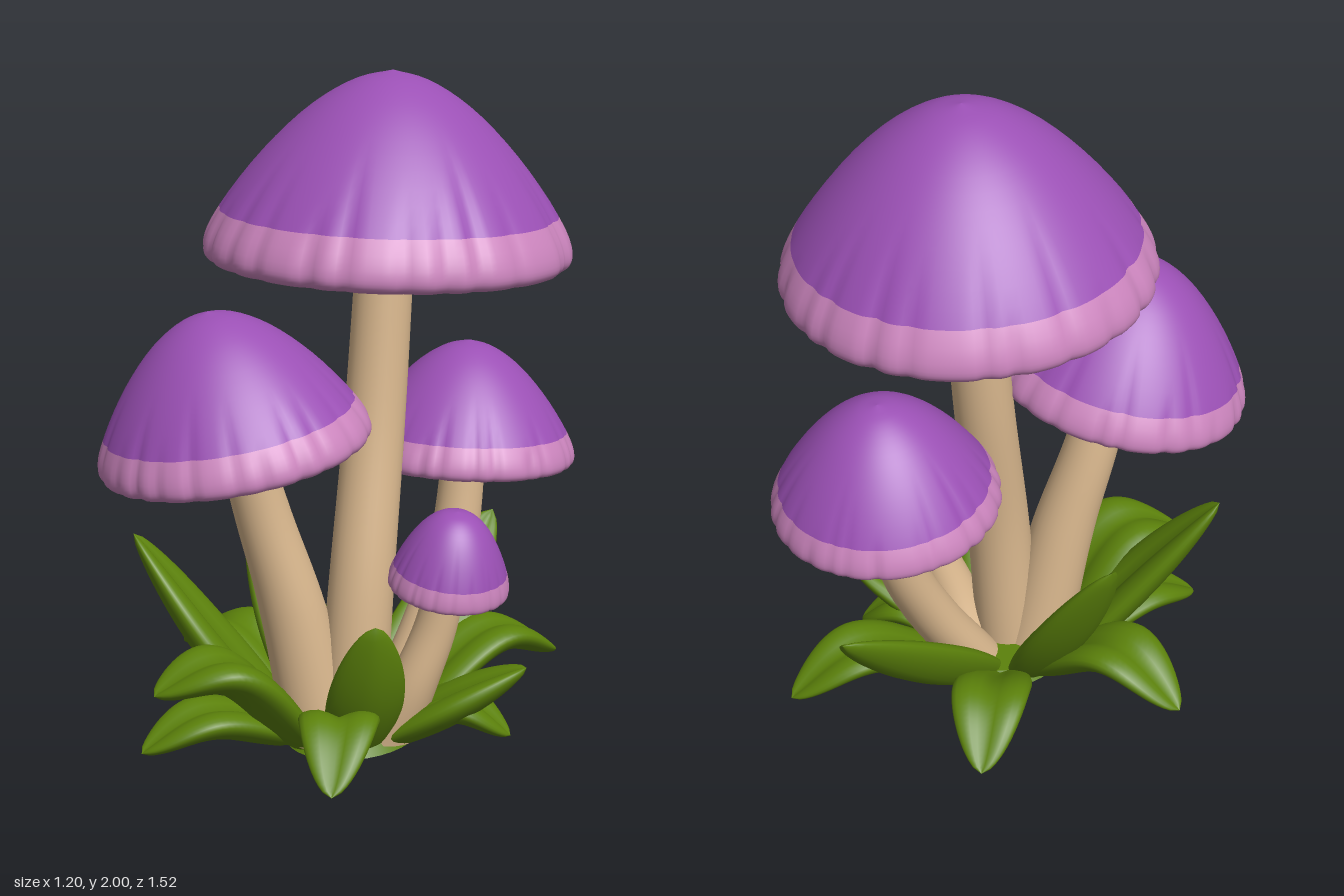
import * as THREE from 'three';

const V = (x, y, z) => new THREE.Vector3(x, y, z);
const flat = (name, color) => {
  const m = new THREE.MeshStandardMaterial({ color });
  m.name = name;
  return m;
};

// Smooth skin over closed rings: point(t, a) with t along the part, a around it
function skin(rows, cols, point) {
  const pos = [], index = [];
  for (let i = 0; i <= rows; i++)
    for (let j = 0; j < cols; j++) pos.push(...point(i / rows, (j / cols) * Math.PI * 2));
  for (let i = 0; i < rows; i++)
    for (let j = 0; j < cols; j++) {
      const a = i * cols + j, b = i * cols + ((j + 1) % cols), c = a + cols, d = b + cols;
      index.push(a, c, b, b, c, d);
    }
  const g = new THREE.BufferGeometry();
  g.setAttribute('position', new THREE.Float32BufferAttribute(pos, 3));
  g.setIndex(index);
  g.computeVertexNormals();
  return g;
}

function seeded(seed) {
  return () => ((seed = (seed * 16807) % 2147483647) / 2147483647);
}

// Cap outline from apex, over the rim, to the hollow underside (unit radius)
const capProfile = new THREE.CatmullRomCurve3([
  [0, 1.025], [0.19, 0.975], [0.42, 0.835], [0.68, 0.58], [0.91, 0.27], [0.985, 0.12],
  [0.99, 0.04], [0.95, 0], [0.87, 0.03], [0.7, 0.11], [0.4, 0.22], [0.1, 0.28],
].map(([r, y]) => V(r, y, 0)));
const SEGS = 11, SUB = 4, COLS = 160, BAND = 4, RIM = 8;

function capGeometry(R, tall, bulge, seed) {
  const rnd = seeded(seed), n = 24;
  const notches = Array.from({ length: n }, (_, k) => ({
    a: ((k + 0.15 + rnd() * 0.7) / n) * Math.PI * 2,
    depth: 0.4 + rnd() * 0.6,
    start: 0.5 + rnd() * 0.4,
  }));
  const g = skin(SEGS * SUB, COLS, (t, a) => {
    const p = capProfile.getPoint(t), k = t * SEGS;
    let r = k < RIM ? Math.pow(Math.max(0, p.x), bulge) : p.x, y = p.y, dent = 0;
    // radial creases that deepen toward the scalloped rim
    for (const c of notches) {
      let d = Math.abs(a - c.a);
      d = Math.min(d, Math.PI * 2 - d);
      const grow = THREE.MathUtils.smoothstep(r, c.start, 1);
      dent = Math.max(dent, c.depth * grow * Math.exp(-((d / 0.045) ** 2)));
    }
    r *= 1 - 0.03 * dent;
    // gills
    if (k > RIM) y -= 0.03 * Math.min(1, k - RIM) * r * Math.abs(Math.sin(14 * a));
    return [R * r * Math.cos(a), R * tall * y, -R * r * Math.sin(a)];
  });
  const split = BAND * SUB * COLS * 6;
  g.addGroup(0, split, 0);
  g.addGroup(split, g.index.count - split, 1);
  return g;
}

function stemGeometry(path, r0, r1) {
  const curve = new THREE.CatmullRomCurve3(path.map((p) => V(...p)));
  return skin(24, 28, (t, a) => {
    const p = curve.getPoint(t), r = THREE.MathUtils.lerp(r0, r1, t);
    return [p.x + r * Math.cos(a), p.y, p.z + r * Math.sin(a)];
  });
}

// Plump leaf, grooved along the middle, swept from base over mid to tip
function leafGeometry(base, mid, tip, width, roll = 0) {
  const curve = new THREE.CatmullRomCurve3([V(...base), V(...mid), V(...tip)]);
  const dir = V(tip[0] - base[0], 0, tip[2] - base[2]).normalize();
  const side = V(-dir.z, 0, dir.x);
  return skin(28, 24, (t, a) => {
    const p = curve.getPoint(t), T = curve.getTangent(t);
    const S = side.clone().applyAxisAngle(T, roll);
    const N = S.clone().cross(T).normalize();
    const shape = Math.pow(Math.max(0, Math.sin(Math.PI * (0.2 + 0.8 * t))), 0.62);
    const w = width * shape, u = Math.cos(a), v = Math.sin(a);
    const groove = v > 0 ? 0.16 * w * Math.exp(-((u / 0.28) ** 2)) : 0;
    p.addScaledVector(S, w * u);
    p.addScaledVector(N, 0.42 * w * v + 0.2 * w * (Math.abs(u) ** 1.4 - 0.4) - groove);
    return [p.x, Math.max(0, p.y), p.z];
  });
}

export function createModel() {
  const model = new THREE.Group();
  model.name = 'mushroomCluster';
  const purple = flat('cap purple', 0x9b50b5);
  const pink = flat('rim pink', 0xcc85be);
  const tan = flat('stem tan', 0xdbb98f);
  const green = flat('leaf green', 0x5c820b);

  const mushrooms = [
    { name: 'tallMushroom', at: [0.063, 1.455, -0.122], R: 0.538, tall: 0.99, bulge: 1, tilt: [-0.035, 0], r: [0.105, 0.083],
      path: [[0.12, 0.02, 0.06], [0.12, 0.5, 0.02], [0.085, 1, -0.06], [0.07, 1.63, -0.12]] },
    { name: 'frontMushroom', at: [-0.015, 0.945, 0.375], R: 0.413, tall: 1, bulge: 0.96, tilt: [0.15, 0.1], r: [0.115, 0.07],
      path: [[0.05, 0.02, 0.12], [0.015, 0.45, 0.2], [-0.02, 0.75, 0.28], [-0.035, 1.08, 0.37]] },
    { name: 'backMushroom', at: [0.08, 0.795, -0.425], R: 0.34, tall: 1.06, bulge: 0.96, tilt: [-0.08, 0.04], r: [0.095, 0.064],
      path: [[0.1, 0.02, -0.1], [0.1, 0.3, -0.27], [0.09, 0.55, -0.38], [0.085, 0.91, -0.43]] },
    { name: 'smallMushroom', at: [0.33, 0.515, -0.135], R: 0.18, tall: 1.34, bulge: 0.78, tilt: [0, -0.15], r: [0.09, 0.052],
      path: [[0.18, 0.02, -0.04], [0.25, 0.2, -0.07], [0.3, 0.4, -0.12], [0.33, 0.6, -0.135]] },
  ];
  mushrooms.forEach((m, i) => {
    const group = new THREE.Group();
    group.name = m.name;
    const cap = new THREE.Mesh(capGeometry(m.R, m.tall, m.bulge, 1234 + i * 777), [purple, pink]);
    cap.name = 'cap';
    cap.position.set(...m.at);
    cap.rotation.set(m.tilt[0], 0, m.tilt[1]);
    if (i === 1) cap.scale.z = 0.94;
    const stem = new THREE.Mesh(stemGeometry(m.path, ...m.r), tan);
    stem.name = 'stem';
    group.add(cap, stem);
    model.add(group);
  });

  // Leaves: base, mid, tip, half width, roll
  const leaves = [
    [[-0.06, 0.02, 0.16], [-0.2, 0.31, 0.34], [-0.38, 0.63, 0.49], 0.13], // tall front left
    [[-0.06, 0.02, 0.02], [-0.25, 0.31, 0.01], [-0.44, 0.64, 0.0], 0.13], // tall left
    [[0.03, 0.02, -0.14], [-0.02, 0.25, -0.42], [-0.09, 0.52, -0.72], 0.125, 0.6], // tall back
    [[-0.08, 0.03, 0.06], [-0.37, 0.23, 0.11], [-0.6, 0.13, 0.15], 0.125],
    [[0.03, 0.03, 0.18], [0.02, 0.31, 0.46], [-0.05, 0.26, 0.655], 0.14],
    [[-0.03, 0.02, 0.18], [-0.08, 0.12, 0.45], [-0.13, 0.05, 0.65], 0.12],
    [[0.12, 0.02, 0.11], [0.28, 0.16, 0.24], [0.43, 0.04, 0.39], 0.12],
    [[0.17, 0.02, 0.07], [0.27, 0.23, 0.12], [0.36, 0.475, 0.17], 0.118],
    [[0.18, 0.02, -0.05], [0.36, 0.16, -0.17], [0.5, 0.27, -0.3], 0.12],
    [[0.17, 0.02, -0.07], [0.33, 0.13, -0.18], [0.455, 0.04, -0.285], 0.115],
    [[0.1, 0.02, -0.16], [0.15, 0.22, -0.5], [0.2, 0.12, -0.73], 0.12],
    [[-0.04, 0.02, -0.1], [-0.21, 0.14, -0.28], [-0.36, 0.04, -0.43], 0.12],
  ];
  const foliage = new THREE.Group();
  foliage.name = 'foliage';
  for (const l of leaves) {
    const leaf = new THREE.Mesh(leafGeometry(...l), green);
    leaf.name = 'leaf';
    foliage.add(leaf);
  }
  // Low crown that joins the leaf bases under the stems
  const crown = new THREE.Mesh(new THREE.CylinderGeometry(0.15, 0.18, 0.05, 32), green);
  crown.name = 'leafCrown';
  crown.position.set(0.07, 0.025, 0.01);
  crown.scale.z = 1.2;
  foliage.add(crown);
  model.add(foliage);
  return model;
}
